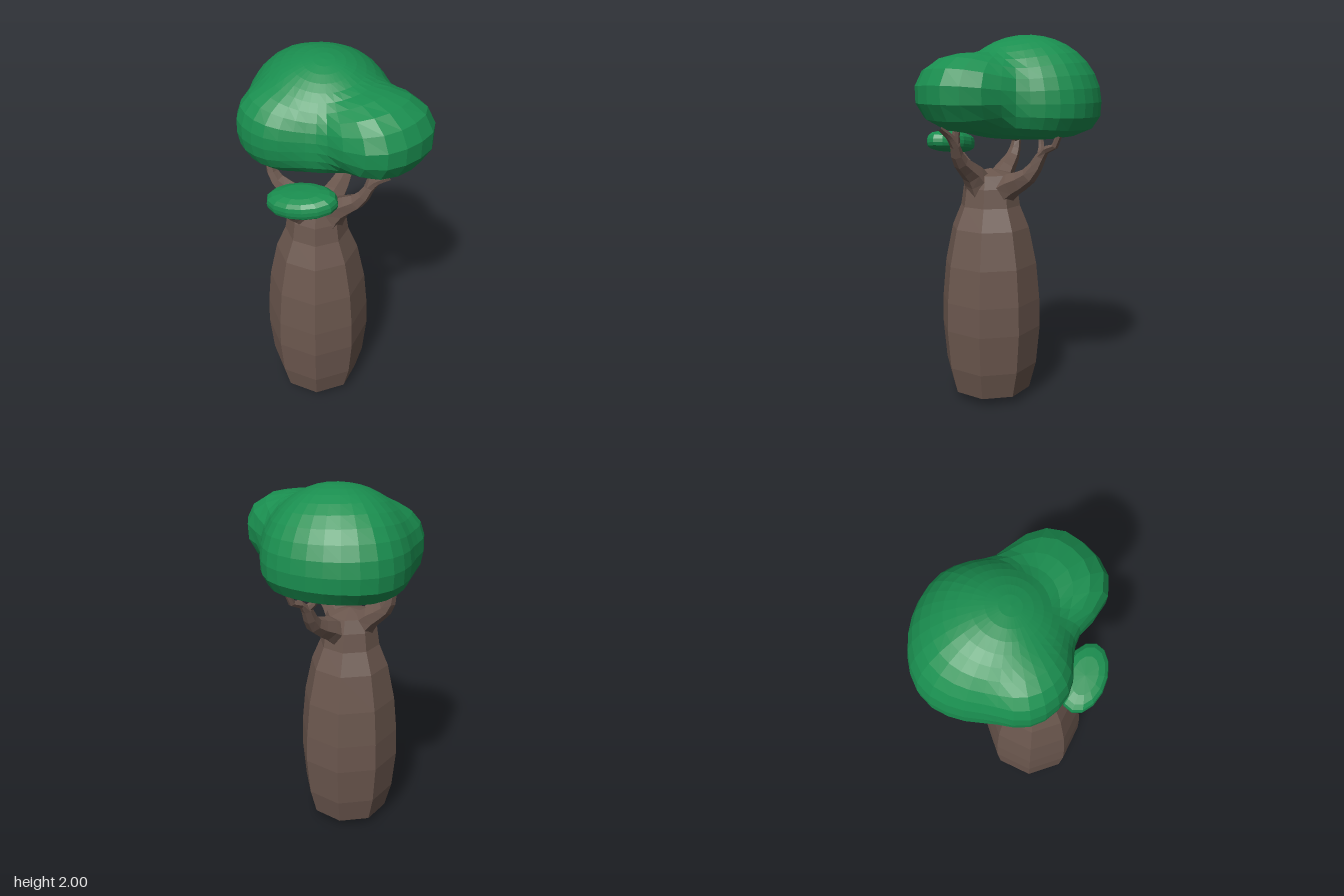
import * as THREE from 'three';

const bark = new THREE.MeshStandardMaterial({ color: 0x6b574e, flatShading: true });
const leaf = new THREE.MeshStandardMaterial({ color: 0x1a8f50, flatShading: true });

function addMesh(parent, name, geometry, material) {
  const mesh = new THREE.Mesh(geometry, material);
  mesh.name = name;
  parent.add(mesh);
  return mesh;
}

// Tube along a smooth path whose radius tapers from r0 to r1
function taperedTube(points, r0, r1, segments = 10, sides = 6) {
  const curve = new THREE.CatmullRomCurve3(points.map(p => new THREE.Vector3(...p)));
  const geo = new THREE.TubeGeometry(curve, segments, 1, sides);
  const pos = geo.attributes.position;
  const v = new THREE.Vector3();
  for (let i = 0; i < pos.count; i++) {
    const t = Math.floor(i / (sides + 1)) / segments;
    const c = curve.getPointAt(t);
    const r = r1 + (r0 - r1) * Math.pow(1 - t, 1.5);
    v.fromBufferAttribute(pos, i).sub(c).multiplyScalar(r).add(c);
    pos.setXYZ(i, v.x, v.y, v.z);
  }
  return geo;
}

// Distance-like value to a boxy ellipsoid: m shapes its plan, nUp and nDown its upper and lower sides
function lobeDistance(p, { c, rx, rz, up, down, m, nUp, nDown }) {
  const dy = p.y - c[1];
  const n = dy > 0 ? nUp : nDown;
  const plan = (Math.abs((p.x - c[0]) / rx) ** m + Math.abs((p.z - c[2]) / rz) ** m) ** (1 / m);
  const s = plan ** n + Math.abs(dy / (dy > 0 ? up : down)) ** n;
  return (s ** (1 / n) - 1) * Math.min(rx, rz);
}

// Sphere whose vertices are pushed out to the blended surface of several lobes
function blendedCanopy(center, lobes, blend) {
  const field = p => lobes.map(l => lobeDistance(p, l)).reduce((a, b) => {
    const h = Math.max(blend - Math.abs(a - b), 0) / blend;
    return Math.min(a, b) - h * h * blend / 4;
  });
  const geo = new THREE.SphereGeometry(1, 36, 20);
  const pos = geo.attributes.position;
  const dir = new THREE.Vector3(), p = new THREE.Vector3();
  for (let i = 0; i < pos.count; i++) {
    dir.fromBufferAttribute(pos, i).normalize();
    let lo = 0, hi = 0.9;
    for (let k = 0; k < 24; k++) {
      const mid = (lo + hi) / 2;
      p.copy(center).addScaledVector(dir, mid);
      if (field(p) < 0) lo = mid; else hi = mid;
    }
    p.copy(center).addScaledVector(dir, lo);
    pos.setXYZ(i, p.x, p.y, p.z);
  }
  geo.computeVertexNormals();
  return geo;
}

export function createModel() {
  const tree = new THREE.Group();
  tree.name = 'bottleTree';

  // Swollen eight-sided trunk
  const profile = [[0, 0.003], [0.14, 0.018], [0.222, 0.05], [0.26, 0.2], [0.28, 0.42],
    [0.276, 0.58], [0.257, 0.78], [0.215, 0.98], [0.165, 1.1], [0.15, 1.2], [0.125, 1.27], [0, 1.3]];
  const trunk = addMesh(tree, 'trunk',
    new THREE.LatheGeometry(profile.map(p => new THREE.Vector2(...p)), 8), bark);
  trunk.position.set(0.03, 0, 0.11);

  // Main branches and their forked twigs: name, path, start radius, end radius
  const branches = [
    ['rightBranch', [[0.02, 1.12, 0.11], [-0.08, 1.26, 0.15], [-0.18, 1.35, 0.2], [-0.21, 1.44, 0.21], [-0.17, 1.53, 0.2]], 0.1, 0.018],
    ['rightTwig', [[-0.205, 1.44, 0.21], [-0.18, 1.48, 0.17], [-0.17, 1.53, 0.12]], 0.025, 0.014],
    ['leftBranch', [[0.05, 1.1, 0.11], [0.15, 1.27, 0.08], [0.26, 1.36, 0.04], [0.305, 1.45, 0.01], [0.3, 1.55, -0.01]], 0.11, 0.018],
    ['leftTwig', [[0.3, 1.44, 0.01], [0.34, 1.49, 0], [0.41, 1.54, -0.02]], 0.028, 0.014],
    ['backBranch', [[0.03, 1.12, 0.1], [0, 1.21, -0.02], [-0.04, 1.28, -0.15], [-0.07, 1.36, -0.2], [-0.08, 1.42, -0.23], [-0.09, 1.43, -0.29], [-0.1, 1.5, -0.33]], 0.1, 0.015],
    ['backTwig', [[-0.075, 1.39, -0.21], [-0.1, 1.43, -0.18], [-0.11, 1.51, -0.16]], 0.022, 0.013],
    ['frontBranch', [[0.03, 1.12, 0.11], [0.03, 1.23, 0.22], [0.05, 1.3, 0.31], [0.1, 1.4, 0.34]], 0.085, 0.015],
    ['frontTwig', [[0.04, 1.27, 0.27], [0.11, 1.32, 0.26], [0.18, 1.4, 0.28]], 0.026, 0.012],
  ];
  for (const [name, path, r0, r1] of branches) {
    addMesh(tree, name, taperedTube(path, r0, r1), bark);
  }

  // Large canopy: central dome, left lobe and front lobe flowing together
  addMesh(tree, 'canopy', blendedCanopy(new THREE.Vector3(-0.03, 1.66, 0), [
    { c: [-0.105, 1.65, -0.05], rx: 0.415, rz: 0.39, up: 0.35, down: 0.18, m: 1.75, nUp: 2, nDown: 3.2 },
    { c: [0.25, 1.71, -0.065], rx: 0.27, rz: 0.262, up: 0.195, down: 0.195, m: 2.5, nUp: 2.2, nDown: 2.4 },
    { c: [-0.125, 1.68, 0.2], rx: 0.215, rz: 0.2, up: 0.205, down: 0.195, m: 2.2, nUp: 2.3, nDown: 2.4 },
  ], 0.05), leaf);

  // Small tilted leaf clump with rounded, boxy sides
  const clumpGeo = new THREE.SphereGeometry(1, 14, 9);
  const pos = clumpGeo.attributes.position;
  for (let i = 0; i < pos.count; i++) {
    const y = pos.getY(i);
    const spread = (1 - Math.abs(y) ** 3) ** (1 / 3) / Math.max(Math.sqrt(1 - y * y), 1e-6);
    const s = Math.abs(y) > 0.999 ? 0 : spread;
    pos.setXYZ(i, pos.getX(i) * s * 0.18, y * (y > 0 ? 0.062 : 0.05), pos.getZ(i) * s * 0.11);
  }
  const clump = addMesh(tree, 'smallLeafClump', clumpGeo, leaf);
  clump.position.set(0.157, 1.428, 0.315);
  clump.rotation.set(0.06, 0.5, 0.12);

  return tree;
}
